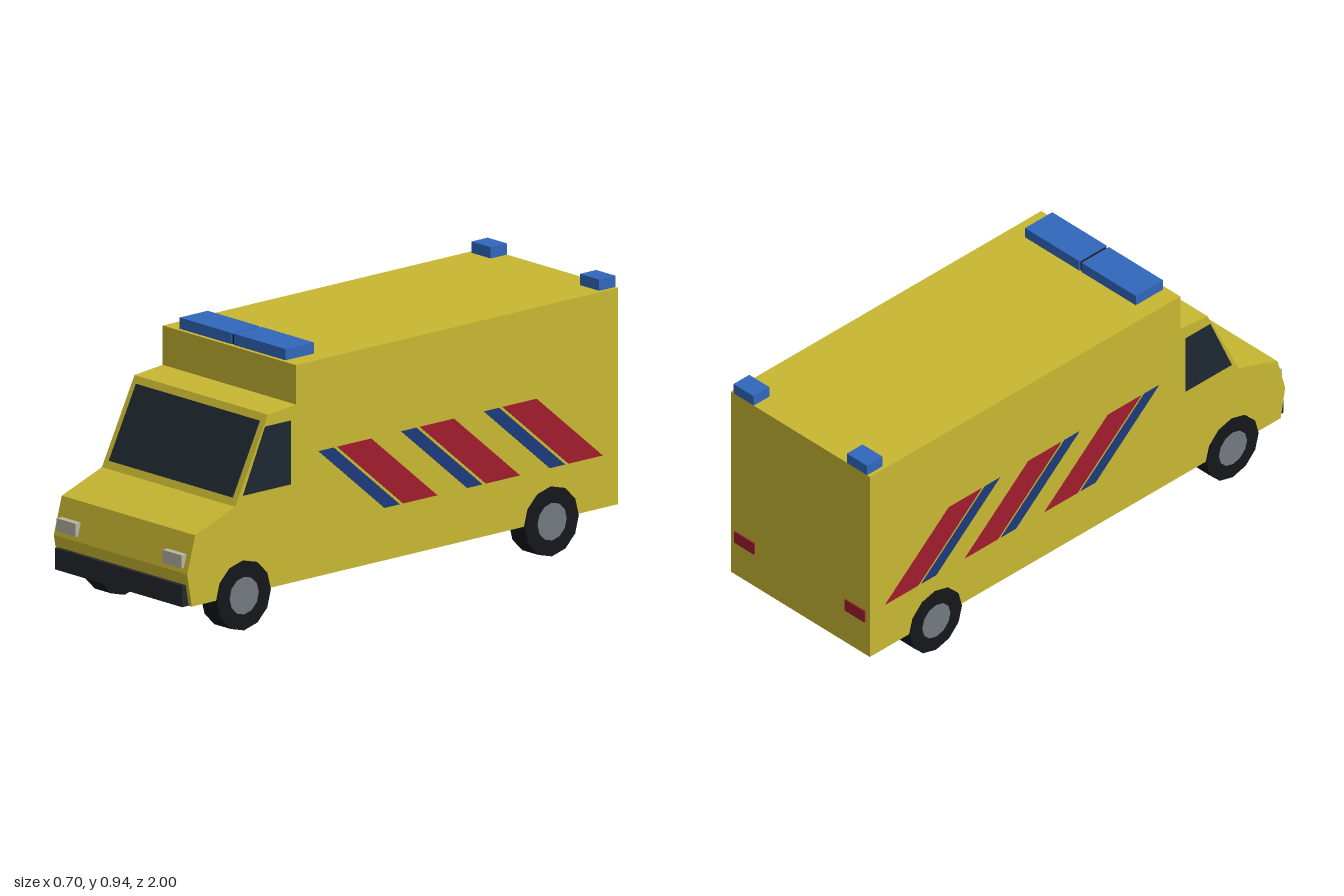
import * as THREE from 'three';

const mat = (color) => new THREE.MeshStandardMaterial({ color, flatShading: true });
const yellow = mat(0xc8b832), glass = mat(0x1d2831), black = mat(0x14161a), bumperGrey = mat(0x25282d);
const hubGrey = mat(0x737881), lampBlue = mat(0x3068bd), red = mat(0xa01c2c), navy = mat(0x1c3b7c), lampWhite = mat(0xb8b6a6);

export function createModel() {
  const model = new THREE.Group();

  const add = (name, geometry, material) => {
    const mesh = new THREE.Mesh(geometry, material);
    mesh.name = name;
    model.add(mesh);
    return mesh;
  };

  // Box given by its limits on each axis
  const box = (name, material, [x0, x1], [y0, y1], [z0, z1]) => {
    const mesh = add(name, new THREE.BoxGeometry(x1 - x0, y1 - y0, z1 - z0), material);
    mesh.position.set((x0 + x1) / 2, (y0 + y1) / 2, (z0 + z1) / 2);
    return mesh;
  };

  // Side profile of [z, y] points, extruded across x around a given centre
  const slab = (name, material, points, width, x = 0) => {
    const shape = new THREE.Shape(points.map(([z, y]) => new THREE.Vector2(z, y)));
    const geometry = new THREE.ExtrudeGeometry(shape, { depth: width, bevelEnabled: false });
    geometry.translate(0, 0, -width / 2).rotateY(-Math.PI / 2).translate(x, 0, 0);
    return add(name, geometry, material);
  };

  // Body shell
  slab('body', yellow, [
    [-0.995, 0.127], [0.97, 0.127], [0.992, 0.245], [0.955, 0.378], [0.77, 0.445],
    [0.62, 0.745], [0.49, 0.757], [0.49, 0.897], [-0.995, 0.897],
  ], 0.684);

  // Windscreen lying on the sloped cab front
  const windscreen = add('windscreen', new THREE.BoxGeometry(0.632, 0.28, 0.01), glass);
  windscreen.position.set(0, 0.595, 0.695);
  windscreen.rotation.x = -Math.atan(0.5);

  // Front bumper
  box('bumper', bumperGrey, [-0.326, 0.326], [0.127, 0.203], [0.96, 1]);

  // Roof light bar divider
  box('lightBarDivider', black, [-0.006, 0.006], [0.89, 0.932], [0.35, 0.47]);

  for (const side of [-1, 1]) {
    const label = side > 0 ? 'left' : 'right';
    const span = (a, b) => (side > 0 ? [a, b] : [-b, -a]);

    // Cab side window
    slab(`${label}SideWindow`, glass,
      [[0.515, 0.478], [0.735, 0.478], [0.633, 0.705], [0.515, 0.705]], 0.004, side * 0.342);

    // Three pairs of slanted stripes
    for (let i = 0; i < 3; i++) {
      const stripe = (name, material, front, width) => {
        const z = front - i * 0.381;
        slab(`${label}${name}${i + 1}`, material,
          [[z - width, 0.572], [z - width - 0.304, 0.314], [z - 0.304, 0.314], [z, 0.572]],
          0.004, side * 0.342);
      };
      stripe('BlueStripe', navy, 0.387, 0.07);
      stripe('RedStripe', red, 0.301, 0.157);
    }

    // Lamps
    box(`${label}Headlight`, lampWhite, span(0.223, 0.32), [0.263, 0.31], [0.96, 0.998]);
    box(`${label}TailLight`, red, span(0.223, 0.32), [0.265, 0.312], [-1, -0.98]);
    box(`${label}FrontBeacon`, lampBlue, span(0.006, 0.272), [0.895, 0.937], [0.345, 0.475]);
    box(`${label}RearBeacon`, lampBlue, span(0.229, 0.328), [0.895, 0.937], [-0.995, -0.92]);

    // Wheels with hubs
    for (const [end, z] of [['Front', 0.735], ['Rear', -0.684]]) {
      const tyre = add(`${label}${end}Tyre`,
        new THREE.CylinderGeometry(0.124, 0.124, 0.083, 12).rotateZ(Math.PI / 2), black);
      tyre.position.set(side * 0.3065, 0.124, z);
      const hub = add(`${label}${end}Hub`,
        new THREE.CylinderGeometry(0.067, 0.067, 0.083, 12).rotateZ(Math.PI / 2), hubGrey);
      hub.position.set(side * 0.308, 0.124, z);
    }
  }

  return model;
}
